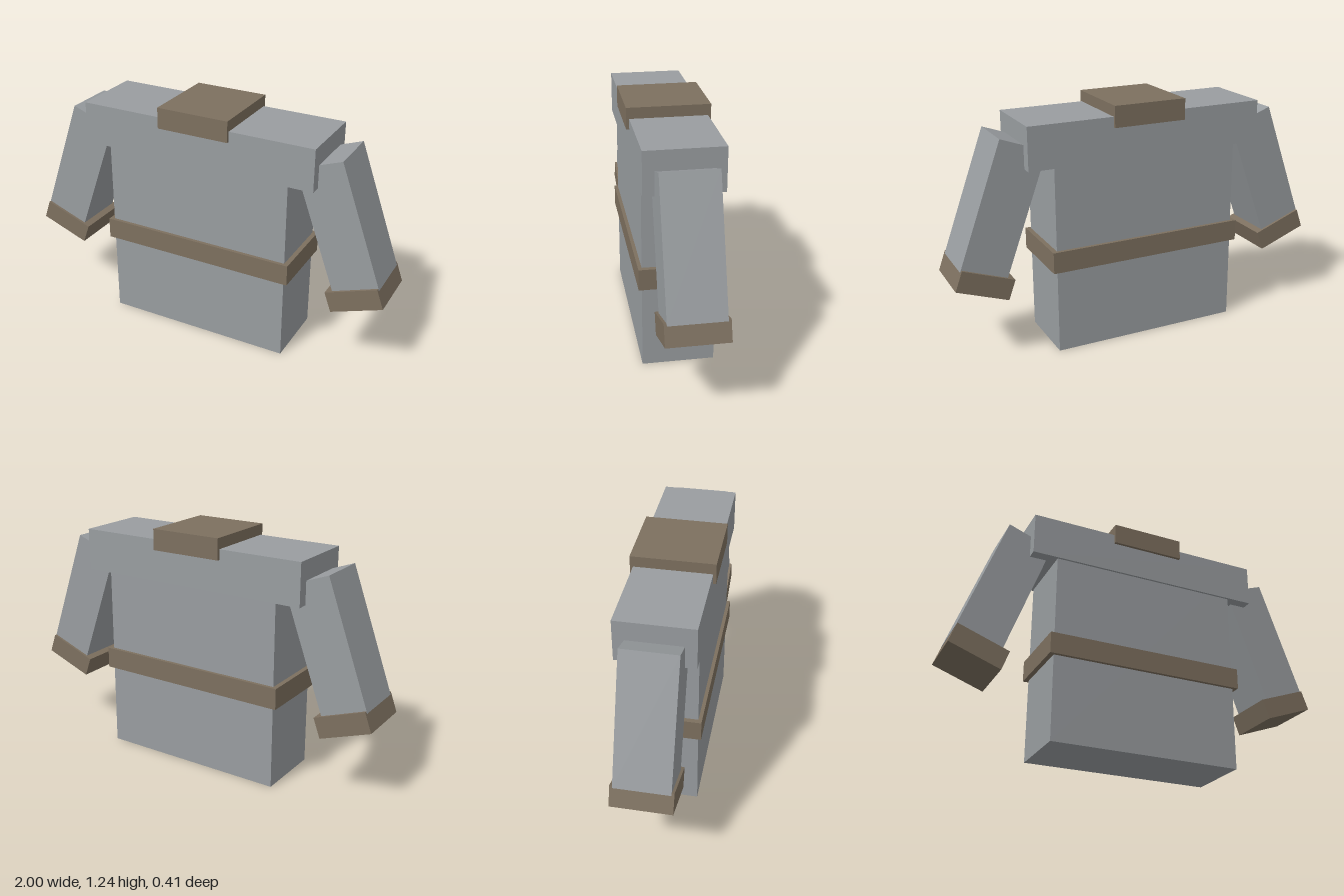
import * as THREE from 'three';

export function createModel() {
  const cloth = new THREE.MeshStandardMaterial({ color: 0x999da0 });
  cloth.name = 'grey cloth';
  const trim = new THREE.MeshStandardMaterial({ color: 0x7d705f });
  trim.name = 'brown trim';

  const model = new THREE.Group();
  model.name = 'tunic';

  // Adds a box of the given size, centred at (x, y, 0) of its parent
  function box(name, parent, material, w, h, d, x, y) {
    const mesh = new THREE.Mesh(new THREE.BoxGeometry(w, h, d), material);
    mesh.name = name;
    mesh.position.set(x, y, 0);
    parent.add(mesh);
  }

  // Body
  box('torso', model, cloth, 0.995, 1.1, 0.36, 0, 0.55);
  box('shoulderYoke', model, cloth, 1.26, 0.217, 0.383, 0, 1.075);
  box('belt', model, trim, 1.043, 0.109, 0.396, 0, 0.489);
  box('collar', model, trim, 0.382, 0.108, 0.413, 0, 1.185);

  // Sleeves splay outwards by 20 degrees; the cuff overhangs on the inner side
  for (const [side, s] of [['left', 1], ['right', -1]]) {
    const sleeve = new THREE.Group();
    sleeve.name = side + 'Sleeve';
    sleeve.rotation.z = s * THREE.MathUtils.degToRad(20);
    box(side + 'Arm', sleeve, cloth, 0.243, 0.66, 0.272, s * 0.9625, 0.4735);
    box(side + 'Cuff', sleeve, trim, 0.277, 0.107, 0.298, s * 0.944, 0.102);
    model.add(sleeve);
  }

  return model;
}
